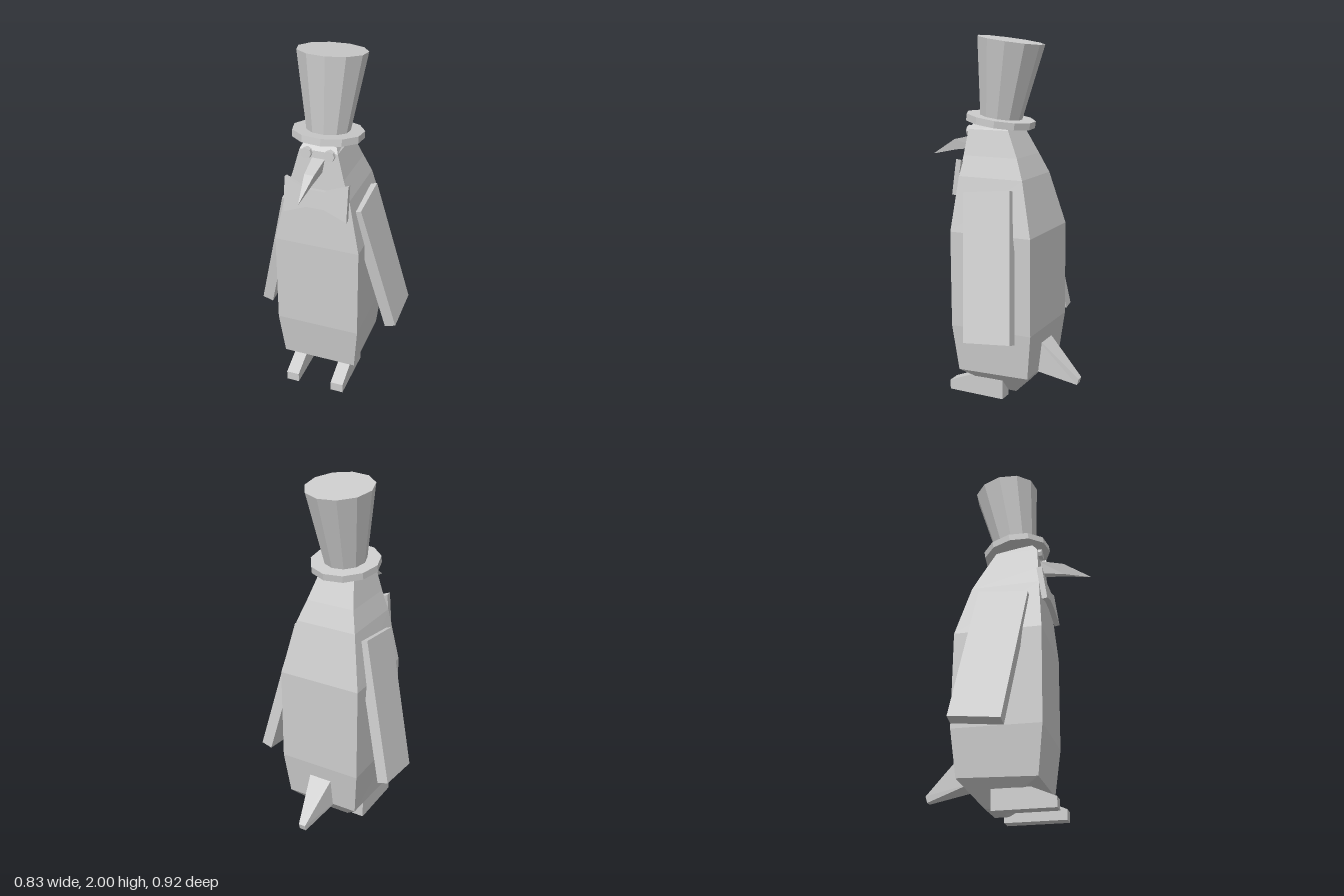
import * as THREE from 'three';

// Closed solid through four-cornered rings, each ring counter-clockwise seen from the far end
function loft(rings) {
  const pos = [];
  const quad = (a, b, c, d) => [a, b, c, a, c, d].forEach((p) => pos.push(...p));
  for (let r = 0; r < rings.length - 1; r++) {
    for (let i = 0; i < 4; i++) {
      const j = (i + 1) % 4;
      quad(rings[r][i], rings[r][j], rings[r + 1][j], rings[r + 1][i]);
    }
  }
  quad(...[...rings[0]].reverse());
  quad(...rings[rings.length - 1]);
  const g = new THREE.BufferGeometry();
  g.setAttribute('position', new THREE.Float32BufferAttribute(pos, 3));
  g.computeVertexNormals();
  return g;
}

// Upright-facing ring at depth z, with separate lower and upper half widths
const zRing = (z, y0, y1, w0, w1 = w0, cx = 0) =>
  [[cx - w0, y0, z], [cx + w0, y0, z], [cx + w1, y1, z], [cx - w1, y1, z]];

export function createModel() {
  const group = new THREE.Group();
  const grey = new THREE.MeshStandardMaterial({ color: 0xcccccc, flatShading: true });
  grey.name = 'light grey';
  const add = (name, geometry, parent = group) => {
    const mesh = new THREE.Mesh(geometry, grey);
    mesh.name = name;
    parent.add(mesh);
    return mesh;
  };

  // Body and head: front y, back y, half width, front z, back z
  const sections = [
    [0.03, 0.03, 0.1, -0.04, -0.115],
    [0.15, 0.165, 0.215, 0.187, -0.237],
    [0.415, 0.42, 0.24, 0.217, -0.265],
    [0.95, 0.955, 0.24, 0.22, -0.26],
    [1.25, 1.25, 0.178, 0.197, -0.183],
    [1.36, 1.36, 0.142, 0.187, -0.135],
    [1.5, 1.5, 0.105, 0.175, -0.065],
    [1.55, 1.52, 0.08, 0.138, -0.055],
  ];
  add('body', loft(sections.map(([yf, yb, w, zf, zb]) =>
    [[-w, yf, zf], [w, yf, zf], [w, yb, zb], [-w, yb, zb]])));

  // Beak
  add('beak', loft([
    zRing(0.16, 1.39, 1.465, 0.025, 0.036),
    zRing(0.31, 1.37, 1.43, 0.014, 0.026),
    zRing(0.457, 1.338, 1.341, 0.001),
  ]));

  // Tail, tapering backward
  add('tail', loft([
    [[0.08, 0.17, -0.2], [-0.08, 0.17, -0.2], [-0.08, 0.385, -0.2], [0.08, 0.385, -0.2]],
    [[0.02, 0.1, -0.45], [-0.02, 0.1, -0.45], [-0.02, 0.135, -0.46], [0.02, 0.135, -0.46]],
  ]));

  for (const s of [1, -1]) {
    const side = s > 0 ? 'left' : 'right';

    // Wing: slab hanging outward and backward
    const wingRing = (x, yf, yb, zf, zb) => {
      const t = 0.062, d = 0.018;
      const r = [[s * (x - t), yf - d, zf], [s * x, yf, zf], [s * x, yb, zb], [s * (x - t), yb - d, zb]];
      return s > 0 ? r : [r[1], r[0], r[3], r[2]];
    };
    add(side + 'Wing', loft([
      wingRing(0.415, 0.395, 0.425, 0.047, -0.228),
      wingRing(0.225, 1.172, 1.203, 0.145, -0.132),
    ]));

    // Foot with sloping toe
    const cx = s * 0.138;
    add(side + 'Foot', loft([
      zRing(-0.065, 0, 0.11, 0.037, 0.037, cx),
      zRing(0.14, 0, 0.11, 0.037, 0.037, cx),
      zRing(0.27, 0, 0.055, 0.037, 0.037, cx),
    ]));

    // Eye
    const eye = add(side + 'Eye', new THREE.CylinderGeometry(0.03, 0.03, 0.04, 8));
    eye.rotation.x = Math.PI / 2 - 0.08;
    eye.position.set(s * 0.063, 1.487, 0.178);
  }

  // Bow tie, leaning back with the chest
  const bow = new THREE.Shape([
    [-0.177, -0.1], [-0.05, -0.05], [0.05, -0.05], [0.177, -0.1],
    [0.177, 0.1], [0.05, 0.05], [-0.05, 0.05], [-0.177, 0.1],
  ].map(([x, y]) => new THREE.Vector2(x, y)));
  const tie = add('bowTie', new THREE.ExtrudeGeometry(bow, { depth: 0.03, bevelEnabled: false }));
  tie.rotation.x = -0.14;
  tie.position.set(0, 1.24, 0.198);

  // Top hat, tilted back
  const hat = new THREE.Group();
  hat.name = 'hat';
  hat.position.set(0, 1.565, 0.03);
  hat.rotation.x = -0.145;
  const prism = (top, bottom, h) =>
    new THREE.CylinderGeometry(top, bottom, h, 11, 1, false, -Math.PI / 2);
  add('hatBrim', prism(0.192, 0.192, 0.038), hat).position.y = -0.019;
  add('hatCrown', prism(0.185, 0.117, 0.415), hat).position.y = 0.2065;
  group.add(hat);

  return group;
}
